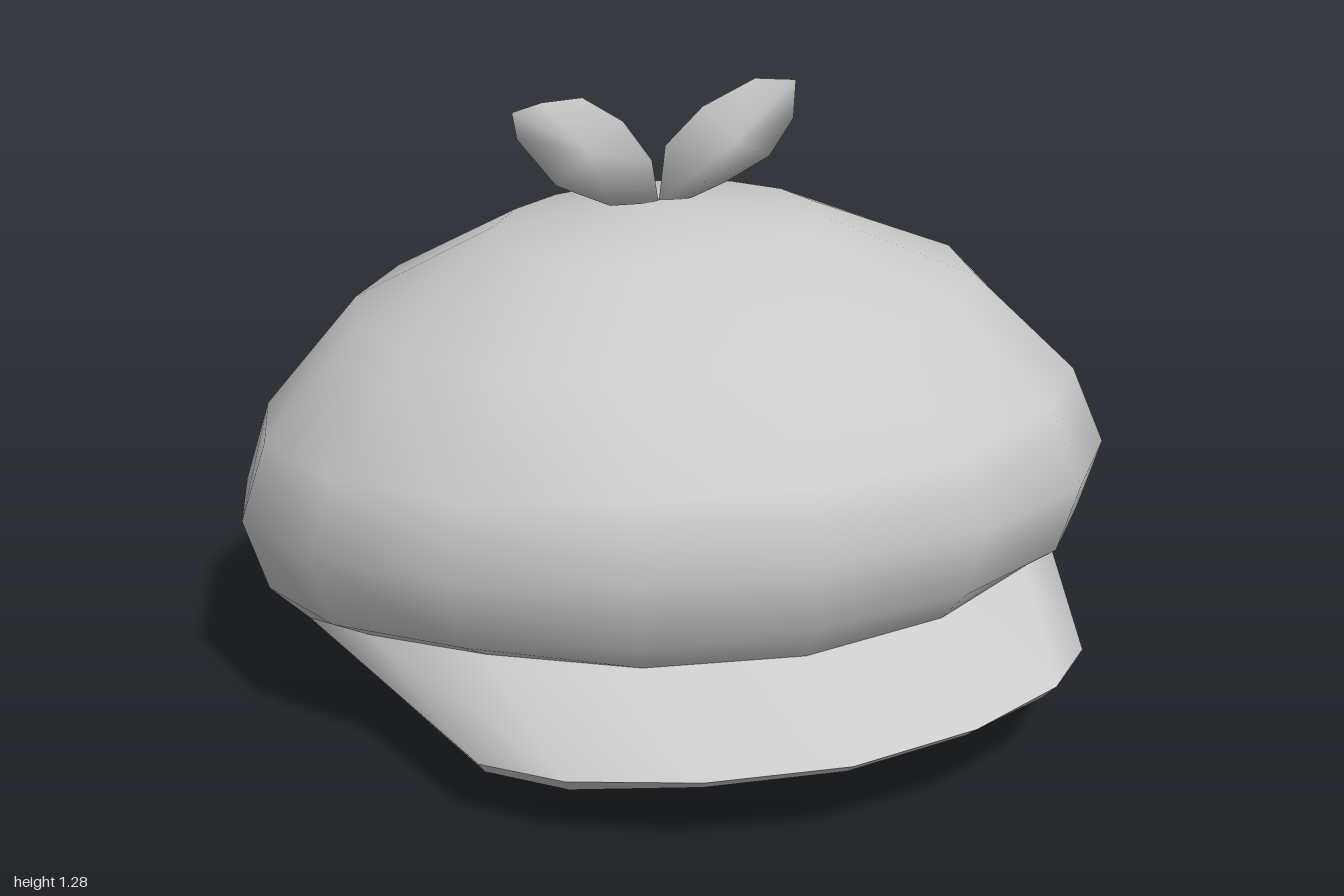
import * as THREE from 'three';
import { mergeVertices } from 'three/addons/utils/BufferGeometryUtils.js';

const SIDES = 16;
const CX = -0.04, CZ = -0.015;

// The cap faces diagonally: s runs forward to the visor, t runs sideways.
const at = (s, t, y) => new THREE.Vector3(CX + 0.755 * s - 0.656 * t, y, CZ + 0.656 * s + 0.755 * t);
const angle = (k) => (k * Math.PI * 2) / SIDES;

// Smooth geometry from points and triangles
function build(points, index) {
  let g = new THREE.BufferGeometry().setFromPoints(points);
  g.setIndex(index);
  g = mergeVertices(g, 1e-4);
  g.computeVertexNormals();
  return g;
}

// Skin between rows of points, listed from top to bottom
function loft(rows) {
  const n = rows[0].length, index = [];
  for (let i = 0; i < rows.length - 1; i++) {
    for (let k = 0; k < n - 1; k++) {
      const a = i * n + k, b = a + 1, c = a + n, d = c + 1;
      index.push(a, b, c, b, d, c);
    }
  }
  return build(rows.flat(), index);
}

// Opening of the dome: high and level at the front, dropping to the back
const openingY = [0.297, 0.3, 0.302, 0.267, 0.19, 0.13, 0.075, 0.022, 0.003];
function opening(k) {
  const r = 0.83, s = 0.025 + r * Math.cos(angle(k)), t = r * Math.sin(angle(k));
  return at(s, t, Math.max(0, openingY[Math.abs(k)] - 0.035 * t));
}

// Visor rim as [s, t, y, thickness], meeting the opening at both sides
const rim = [[1.11, 0, 0.174, 0.025], [1.056, 0.28, 0.172, 0.025], [0.925, 0.515, 0.162, 0.032], [0.775, 0.648, 0.158, 0.03]];
function visorRim(k, lower) {
  const j = Math.abs(k);
  if (j > 3) return opening(k);
  const [s, w, y, thick] = rim[j];
  const f = lower ? 0.97 : 1, t = w * Math.sign(k);
  return at(s * f, t * f, y - 0.05 * t - (lower ? thick : 0));
}

const range = (a, b) => Array.from({ length: b - a + 1 }, (_, i) => a + i);

// Dome rings as [radius, height, slope forward, slope sideways, lean in z]
function domeGeometry() {
  const profile = [
    [0, 1.033, 0, 0, 0.035], [0.36, 0.982, -0.008, -0.05, 0.042], [0.68, 0.835, 0.018, -0.052, 0.028],
    [0.895, 0.603, 0.075, -0.042, 0.018], [0.96, 0.425, 0.1, -0.035, 0.004], [0.91, 0.264, 0.118, -0.037, 0],
  ];
  const rows = profile.map(([r, y, ds, dt, lean]) => range(-8, 8).map((k) => {
    const s = r * Math.cos(angle(k)), t = r * Math.sin(angle(k));
    const p = at(s, t, y + ds * s + dt * t);
    p.z += lean;
    return p;
  }));
  rows.push(range(-8, 8).map(opening));
  return loft(rows);
}

// Underside spans straight across from one side to the other
function undersideGeometry() {
  const points = [], index = [];
  for (let k = 0; k <= 8; k++) {
    points.push(visorRim(k, true), visorRim(-k, true));
    if (k < 8) {
      const a = 2 * k, b = a + 1, c = a + 2, d = a + 3;
      index.push(a, c, b, b, c, d);
    }
  }
  return build(points, index);
}

// Pillow-shaped leaf: outline in (u, y) with a raised middle on both faces
function leafGeometry(outline, dir) {
  const n = outline.length;
  const place = (u, y, w) => new THREE.Vector3(-0.04 + 0.65 * u * dir + 0.76 * w, y, 0.03 - 0.76 * u * dir + 0.65 * w);
  const points = outline.map(([u, y]) => place(u, y, 0));
  const index = [];
  for (const side of [1, -1]) {
    const c = points.length;
    points.push(place(0.165, 1.155, 0.036 * side));
    for (let i = 0; i < n; i++) {
      const j = (i + 1) % n;
      if (side * dir > 0) index.push(c, i, j);
      else index.push(c, j, i);
    }
  }
  return build(points, index);
}

export function createModel() {
  const group = new THREE.Group();
  const grey = new THREE.MeshStandardMaterial({ color: 0xcccccc });
  grey.name = 'lightGrey';
  const add = (name, geometry) => {
    const mesh = new THREE.Mesh(geometry, grey);
    mesh.name = name;
    group.add(mesh);
  };

  add('dome', domeGeometry());

  // Visor
  const front = range(-4, 4);
  const top = front.map((k) => visorRim(k, false));
  const bottom = front.map((k) => visorRim(k, true));
  add('visorTop', loft([front.map(opening), top]));
  add('visorEdge', loft([top, bottom]));
  add('underside', undersideGeometry());

  // Pair of leaves on the crown
  add('leftLeaf', leafGeometry([[0, 1.025], [0.075, 1.03], [0.155, 1.06], [0.255, 1.11], [0.31, 1.19],
    [0.315, 1.275], [0.22, 1.284], [0.1, 1.23], [0.015, 1.15]], 1));
  add('rightLeaf', leafGeometry([[0, 1.025], [0.11, 1.027], [0.23, 1.08], [0.315, 1.187], [0.325, 1.245],
    [0.26, 1.262], [0.17, 1.267], [0.08, 1.21], [0.015, 1.12]], -1));

  return group;
}
